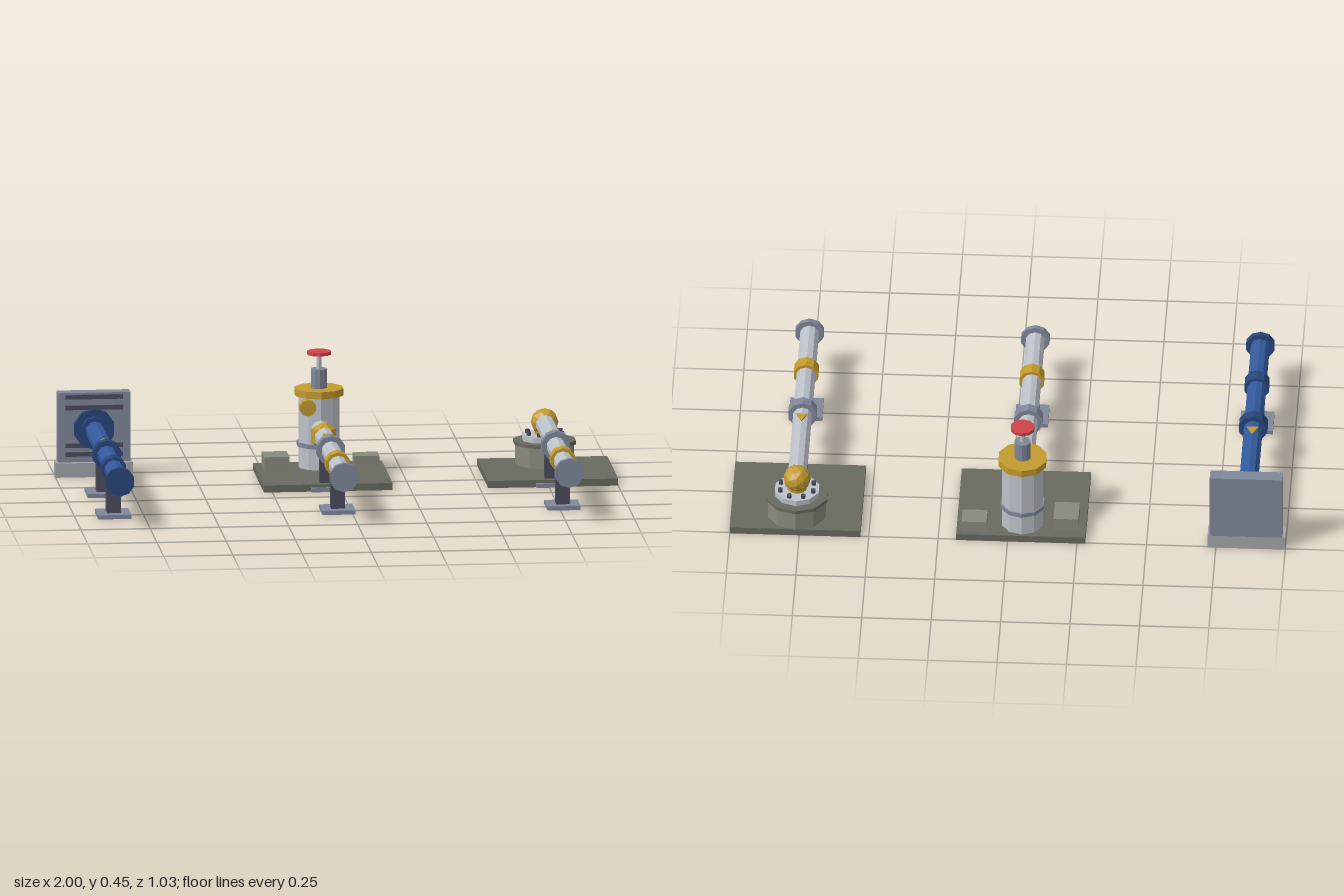
import * as THREE from 'three';

const mat = (name, color) => Object.assign(new THREE.MeshStandardMaterial({ color }), { name });
const M = {
  pipe: mat('light metal', 0xbcc2ca),
  steel: mat('blue grey steel', 0x7f879a),
  dark: mat('dark steel', 0x4a4c5a),
  slab: mat('dark concrete', 0x68695f),
  block: mat('concrete', 0x88897d),
  curb: mat('pale concrete', 0xa2a5a8),
  yellow: mat('yellow paint', 0xc39a2e),
  red: mat('red paint', 0xd0434a),
  blue: mat('blue paint', 0x335a9e),
  navy: mat('dark blue paint', 0x28467c),
};
const SIDES = 10;
const PIPE_Y = 0.175;

// Faceted mesh with hard edges
function add(group, name, geometry, material, x, y, z) {
  const g = geometry.index ? geometry.toNonIndexed() : geometry;
  g.computeVertexNormals();
  const m = new THREE.Mesh(g, material);
  m.name = name;
  m.position.set(x, y, z);
  group.add(m);
  return m;
}

// Box given by its minimum and maximum corners
function box(group, name, material, [x0, x1], [y0, y1], [z0, z1]) {
  return add(group, name, new THREE.BoxGeometry(x1 - x0, y1 - y0, z1 - z0), material,
    (x0 + x1) / 2, (y0 + y1) / 2, (z0 + z1) / 2);
}

// Upright cylinder between two heights
function post(group, name, material, r, x, z, y0, y1, sides = SIDES) {
  return add(group, name, new THREE.CylinderGeometry(r, r, y1 - y0, sides), material, x, (y0 + y1) / 2, z);
}

// Cylinder lying along z
function tube(group, name, material, r, x, y, z0, z1) {
  const g = new THREE.CylinderGeometry(r, r, z1 - z0, SIDES).rotateX(Math.PI / 2);
  return add(group, name, g, material, x, y, (z0 + z1) / 2);
}

// Pipe run with flanges, clamp, supports and flow arrow
function pipeRun(name, x, zEnd, zBack, pipeMat, flangeMat, bandMat, arrowDir) {
  const g = new THREE.Group();
  g.name = name;
  tube(g, 'pipe', pipeMat, 0.035, x, PIPE_Y, zEnd, 0.5);
  tube(g, 'endFlange', flangeMat, 0.0535, x, PIPE_Y, 0.494, 0.513);
  tube(g, 'middleFlange', flangeMat, 0.0535, x, PIPE_Y, -0.011, 0.028);
  tube(g, 'clampBand', bandMat, 0.046, x, PIPE_Y, 0.236, 0.286);
  for (const z of [0.261, zBack]) {
    box(g, 'supportFoot', M.steel, [x - 0.06, x + 0.06], [0, 0.015], [z - 0.06, z + 0.06]);
    box(g, 'supportColumn', M.dark, [x - 0.025, x + 0.025], [0.015, 0.142], [z - 0.025, z + 0.025]);
  }
  const shape = new THREE.Shape([[-0.02, -0.022], [0.02, -0.022], [0, 0.022]].map(p => new THREE.Vector2(...p)));
  const arrow = new THREE.ExtrudeGeometry(shape, { depth: 0.006, bevelEnabled: false }).rotateX(-Math.PI / 2);
  if (arrowDir > 0) arrow.rotateY(Math.PI);
  add(g, 'flowArrow', arrow, M.yellow, x, 0.207, -0.072);
  return g;
}

// Wall connection with louvred panel
function wallRun() {
  const x = -0.86;
  const g = pipeRun('wallPipe', x, -0.455, -0.122, M.blue, M.navy, M.navy, -1);
  box(g, 'wallCurb', M.curb, [-1, -0.72], [0, 0.052], [-0.505, -0.435]);
  box(g, 'wallPanel', M.steel, [-0.99, -0.728], [0.052, 0.306], [-0.505, -0.455]);
  for (const y of [0.081, 0.113, 0.252, 0.291])
    box(g, 'louvreSlat', M.dark, [-0.963, -0.756], [y - 0.008, y + 0.008], [-0.456, -0.449]);
  tube(g, 'wallFlange', M.navy, 0.075, x, PIPE_Y, -0.456, -0.433);
  tube(g, 'wallCollar', M.navy, 0.05, x, PIPE_Y, -0.433, -0.408);
  return g;
}

// Upright vessel with handwheel valve
function vesselRun() {
  const x = -0.05, z = -0.42;
  const g = pipeRun('vesselPipe', x, -0.37, -0.146, M.pipe, M.steel, M.yellow, 1);
  box(g, 'baseSlab', M.slab, [-0.28, 0.185], [0, 0.026], [-0.505, -0.1]);
  box(g, 'largePlinth', M.block, [-0.253, -0.163], [0.026, 0.076], [-0.463, -0.358]);
  box(g, 'smallPlinth', M.block, [0.077, 0.167], [0.026, 0.064], [-0.48, -0.404]);
  post(g, 'vessel', M.pipe, 0.076, x, z, 0.026, 0.292);
  post(g, 'vesselRing', M.steel, 0.082, x, z, 0.104, 0.12);
  post(g, 'vesselCap', M.yellow, 0.09, x, z, 0.29, 0.316);
  post(g, 'valveBonnet', M.steel, 0.03, x, z, 0.316, 0.386);
  post(g, 'valveStem', M.pipe, 0.009, x, z, 0.386, 0.44);
  post(g, 'handwheel', M.red, 0.044, x, z, 0.438, 0.45);
  tube(g, 'gauge', M.yellow, 0.03, -0.098, 0.257, -0.37, -0.336);
  const ball = new THREE.SphereGeometry(0.052, 6, 3);
  add(g, 'valveBall', ball, M.yellow, x, PIPE_Y, -0.246);
  return g;
}

// Wellhead drum with bolted cover and elbow
function drumRun() {
  const x = 0.763, z = -0.4;
  const g = pipeRun('drumPipe', x, z, -0.146, M.pipe, M.steel, M.yellow, -1);
  box(g, 'baseSlab', M.slab, [0.53, 1], [0, 0.026], [-0.505, -0.1]);
  post(g, 'drum', M.block, 0.108, x, z, 0.026, 0.1);
  post(g, 'drumRim', M.slab, 0.116, x, z, 0.1, 0.113);
  post(g, 'drumCover', M.pipe, 0.083, x, z, 0.113, 0.134);
  for (let i = 0; i < 8; i++) {
    const a = (i + 0.5) * Math.PI / 4;
    post(g, 'coverBolt', M.dark, 0.009, x + 0.064 * Math.cos(a), z + 0.064 * Math.sin(a), 0.134, 0.147, 6);
  }
  post(g, 'riser', M.yellow, 0.036, x, z, 0.134, PIPE_Y);
  add(g, 'elbowBall', new THREE.IcosahedronGeometry(0.05, 1), M.yellow, x, 0.178, z);
  return g;
}

export function createModel() {
  const model = new THREE.Group();
  model.name = 'pipeStations';
  model.add(wallRun(), vesselRun(), drumRun());
  return model;
}
